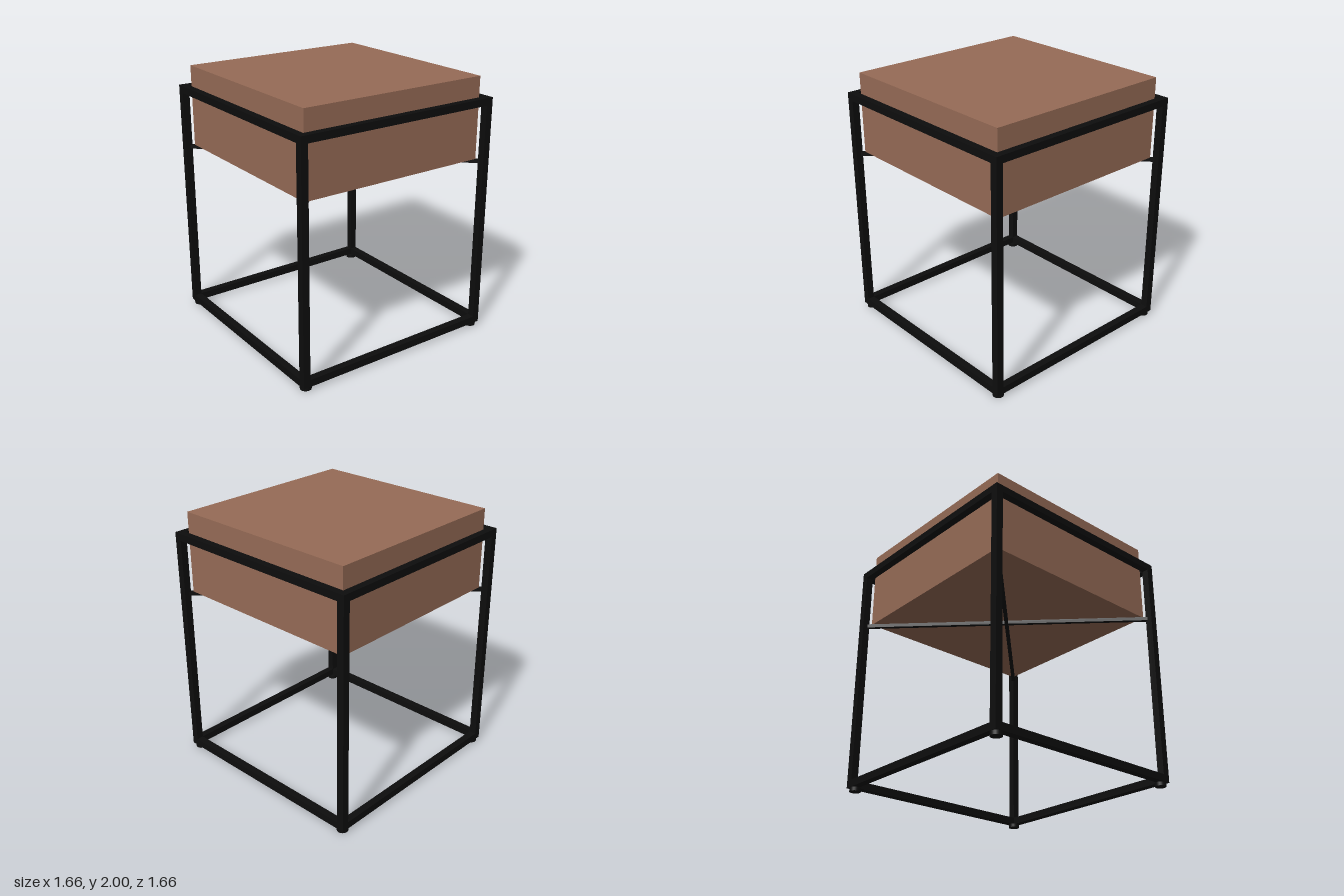
import * as THREE from 'three';

const OUT = 0.83;        // outer half width of the frame
const BAR = 0.055;       // square tube thickness
const BASE = 0.028;      // underside of the frame
const TOP = 1.847;       // upper side of the frame
const MID = OUT - BAR / 2;
const INNER = OUT - BAR;

export function createModel() {
  const model = new THREE.Group();
  const black = new THREE.MeshStandardMaterial({ name: 'black metal', color: 0x0d0d0d });
  const brown = new THREE.MeshStandardMaterial({ name: 'brown leather', color: 0x966b56 });

  const add = (name, geometry, material, x, y, z, turn = 0) => {
    const mesh = new THREE.Mesh(geometry, material);
    mesh.name = name;
    mesh.position.set(x, y, z);
    mesh.rotation.y = turn;
    model.add(mesh);
  };

  // Legs and round feet at the four corners
  const leg = new THREE.BoxGeometry(BAR, TOP - BASE, BAR);
  const foot = new THREE.CylinderGeometry(0.042, 0.042, BASE, 24);
  for (const sx of [-1, 1]) {
    for (const sz of [-1, 1]) {
      add('leg', leg, black, sx * MID, (TOP + BASE) / 2, sz * MID);
      add('foot', foot, black, sx * 0.785, BASE / 2, sz * 0.785);
    }
  }

  // Upper and lower rails between the legs
  const rail = new THREE.BoxGeometry(INNER * 2, BAR, BAR);
  for (const y of [BASE + BAR / 2, TOP - BAR / 2]) {
    for (const s of [-1, 1]) {
      add('rail', rail, black, 0, y, s * MID);
      add('rail', rail, black, s * MID, y, 0, Math.PI / 2);
    }
  }

  // Crossed diagonal braces carrying the seat
  const brace = new THREE.BoxGeometry((INNER + 0.008) * 2 * Math.SQRT2, 0.028, 0.028);
  for (const s of [-1, 1]) add('diagonalBrace', brace, black, 0, 1.361, 0, s * Math.PI / 4);

  // Thick block cushion
  add('seatCushion', new THREE.BoxGeometry(1.522, 0.625, 1.522), brown, 0, 1.6875, 0);

  return model;
}
